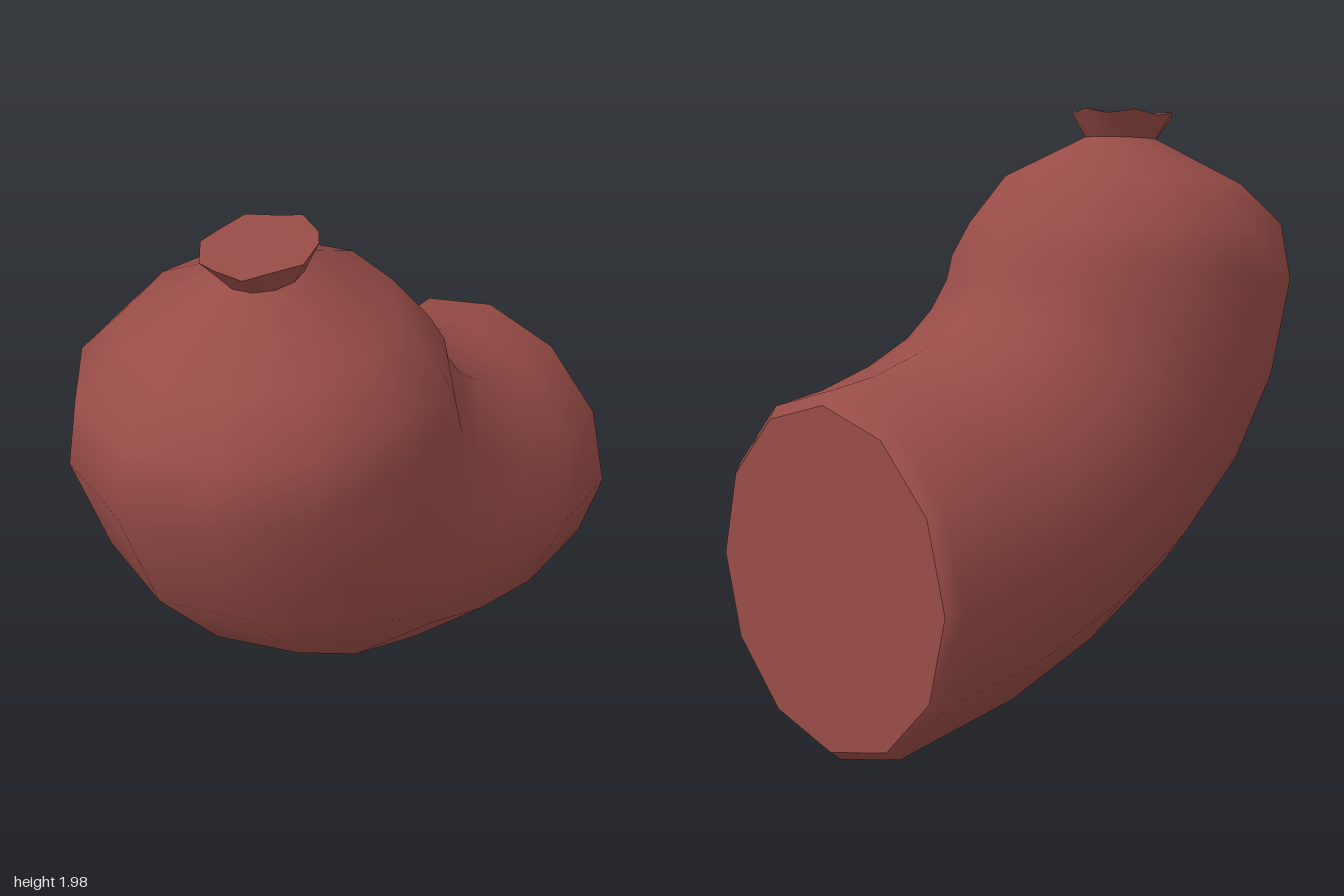
import * as THREE from 'three';

const SIDES = 12;

// A ring runs between an outer and an inner point in the xy plane:
// [outerX, outerY, innerX, innerY, halfWidth, zCentre, rimWave]
function ringPoints([ox, oy, ix, iy, halfWidth, zc = 0, wave = 0]) {
  const points = [];
  for (let i = 0; i < SIDES; i++) {
    const a = (i / SIDES) * Math.PI * 2;
    const t = (1 - Math.cos(a)) / 2;
    points.push(new THREE.Vector3(
      ox + (ix - ox) * t,
      oy + (iy - oy) * t + (i % 2 ? -wave : wave),
      zc + halfWidth * Math.sin(a)
    ));
  }
  return points;
}

// Smooth skin through successive rings
function skin(rings) {
  const points = rings.flatMap(ringPoints);
  const index = [];
  for (let r = 0; r < rings.length - 1; r++) {
    for (let i = 0; i < SIDES; i++) {
      const j = (i + 1) % SIDES;
      const a = r * SIDES + i, b = r * SIDES + j;
      const c = a + SIDES, d = b + SIDES;
      index.push(a, b, c, b, d, c);
    }
  }
  const geometry = new THREE.BufferGeometry().setFromPoints(points);
  geometry.setIndex(index);
  geometry.computeVertexNormals();
  return geometry;
}

// Fan that closes one ring
function cap(ring, flip) {
  const points = ringPoints(ring);
  const centre = new THREE.Vector3();
  points.forEach((p) => centre.addScaledVector(p, 1 / SIDES));
  points.push(centre);
  const index = [];
  for (let i = 0; i < SIDES; i++) {
    const j = (i + 1) % SIDES;
    index.push(SIDES, flip ? j : i, flip ? i : j);
  }
  const geometry = new THREE.BufferGeometry().setFromPoints(points);
  geometry.setIndex(index);
  geometry.computeVertexNormals();
  return geometry;
}

export function createModel() {
  const group = new THREE.Group();
  const meat = new THREE.MeshStandardMaterial({ color: 0x984c47 });
  meat.name = 'meat red';

  const add = (name, geometry) => {
    const mesh = new THREE.Mesh(geometry, meat);
    mesh.name = name;
    group.add(mesh);
  };

  // Curved body, from the cut end to the tied end
  const body = [
    [1.0, 0.04, 1.0, 1.1, 0.52, -0.03],
    [0.96, 0.005, 0.96, 1.14, 0.555, -0.025],
    [0.46, 0.06, 0.78, 1.16, 0.57],
    [0.07, 0.18, 0.6, 1.215, 0.57],
    [-0.3, 0.37, 0.45, 1.285, 0.57],
    [-0.63, 0.63, 0.36, 1.36, 0.57],
    [-0.87, 0.96, 0.3, 1.44, 0.57],
    [-1.0, 1.37, 0.28, 1.5, 0.57],
    [-0.96, 1.59, 0.21, 1.6, 0.53],
    [-0.8, 1.72, 0.08, 1.76, 0.4],
    [-0.48, 1.88, -0.21, 1.89, 0.12],
  ];
  add('body', skin(body));
  add('cutFace', cap(body[0], true));

  // Flared casing end with a wavy rim
  const neck = body[body.length - 1];
  const rim = [-0.55, 1.962, -0.16, 1.977, 0.163, 0, 0.008];
  add('knot', skin([neck, rim]));
  add('knotTop', cap(rim, false));

  return group;
}
